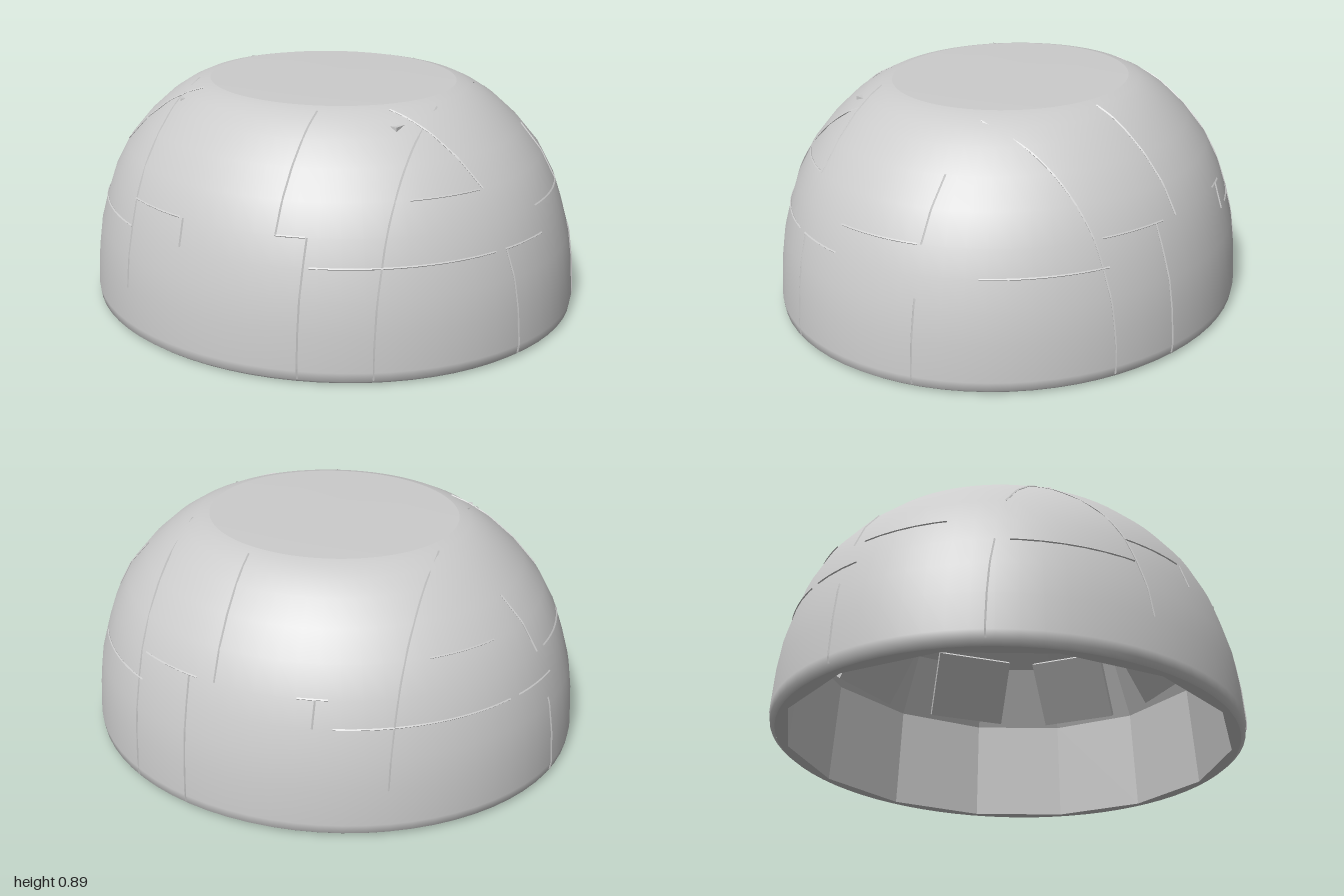
import * as THREE from 'three';

const DEPTH = 0.92; // the plan is an ellipse, narrower front to back
const SIDES = 14;   // flat panels around the inside

// outer wall: radius, height
const PROFILE = [
  [0.975, 0.01], [0.995, 0.025], [1, 0.06], [0.99, 0.2], [0.972, 0.32], [0.94, 0.43],
  [0.905, 0.53], [0.845, 0.64], [0.76, 0.74], [0.67, 0.82], [0.6, 0.865], [0.545, 0.89], [0.5, 0.9],
];

function radiusAt(y) {
  for (let i = 1; i < PROFILE.length; i++) {
    const [r0, y0] = PROFILE[i - 1], [r1, y1] = PROFILE[i];
    if (y <= y1) return r0 + (r1 - r0) * Math.max(0, (y - y0) / (y1 - y0));
  }
  return 0.5;
}

export function createModel() {
  const model = new THREE.Group();
  model.name = 'hollowDome';
  const smooth = new THREE.MeshStandardMaterial({ color: 0xcccccc });
  const faceted = new THREE.MeshStandardMaterial({ color: 0xcccccc, flatShading: true });
  const vec = (list) => list.map(([r, y]) => new THREE.Vector2(r, y));

  function add(name, geometry, material, parent = model) {
    const mesh = new THREE.Mesh(geometry, material);
    mesh.name = name;
    parent.add(mesh);
    return mesh;
  }

  // Outer wall and flat roof
  add('outerWall', new THREE.LatheGeometry(vec(PROFILE), 72).scale(1, 1, DEPTH), smooth);
  add('roof', new THREE.LatheGeometry(vec([[0.5, 0.9], [0.3, 0.904], [0, 0.905]]), 72)
    .scale(1, 1, DEPTH), smooth);

  // Inner lining of flat panels, faces turned inward
  const lining = vec([[0, 0.86], [0.58, 0.84], [0.78, 0.68], [0.91, 0.43], [0.945, 0.01]]);
  add('innerLining', new THREE.LatheGeometry(lining, SIDES).scale(1, 1, DEPTH), faceted);

  // Rim joining the round outside to the panelled inside
  const ring = (r, n) => Array.from({ length: n }, (_, i) => {
    const a = (i / n) * Math.PI * 2;
    return new THREE.Vector2(Math.sin(a) * r, Math.cos(a) * r * DEPTH);
  });
  const rim = new THREE.Shape(ring(0.975, 72));
  rim.holes.push(new THREE.Path(ring(0.945, SIDES)));
  add('rim', new THREE.ShapeGeometry(rim).rotateX(Math.PI / 2).translate(0, 0.01, 0), faceted);

  // Tilted plates round the upper inside
  const plates = new THREE.Group();
  plates.name = 'innerPlates';
  plates.scale.z = DEPTH;
  model.add(plates);
  for (let i = 0; i < 9; i++) {
    const holder = new THREE.Group();
    holder.name = 'innerPlateHolder';
    holder.rotation.y = ((i + 0.35) / 9) * Math.PI * 2;
    plates.add(holder);
    const plate = add('innerPlate', new THREE.BoxGeometry(0.36, 0.3, 0.03), faceted, holder);
    plate.position.set(0, 0.56, 0.765 - 0.02 * (i % 2));
    plate.rotation.x = -0.6;
  }
  // Staggered plates under the roof
  for (const [x, z, turn] of [[-0.28, 0.2, 0.3], [0.25, 0.24, -0.25], [0.05, -0.26, 0.1]]) {
    const plate = add('ceilingPlate', new THREE.BoxGeometry(0.5, 0.03, 0.34), faceted, plates);
    plate.position.set(x, 0.835, z);
    plate.rotation.y = turn;
  }

  // Fine seams between wall blocks, following the surface
  function seam(points) {
    const curve = new THREE.CatmullRomCurve3(points);
    add('blockSeam', new THREE.TubeGeometry(curve, points.length * 2, 0.004, 4), faceted);
  }
  // upright seam in the plane x = c (or z = c), between two heights
  function uprightSeam(axis, c, side, y0, y1) {
    const points = [];
    for (let i = 0; i <= 12; i++) {
      const y = y0 + ((y1 - y0) * i) / 12, r = radiusAt(y);
      const k = axis === 'x' ? r * r - c * c : r * r - (c / DEPTH) ** 2;
      if (k < 0) break;
      points.push(axis === 'x'
        ? new THREE.Vector3(c, y, side * DEPTH * Math.sqrt(k))
        : new THREE.Vector3(side * Math.sqrt(k), y, c));
    }
    if (points.length > 2) seam(points);
  }
  // level seam, angles in degrees from the front toward +x
  function levelSeam(y, from, to) {
    const points = [], r = radiusAt(y);
    for (let i = 0; i <= 8; i++) {
      const a = THREE.MathUtils.degToRad(from + ((to - from) * i) / 8);
      points.push(new THREE.Vector3(Math.sin(a) * r, y, Math.cos(a) * r * DEPTH));
    }
    seam(points);
  }
  for (const side of [1, -1]) {
    uprightSeam('x', -0.49, side, 0.2, 0.89);
    uprightSeam('x', 0.52, side, 0.03, 0.88);
    uprightSeam('x', 0.16, side, 0.53, 0.89);
    uprightSeam('x', 0.27, side, 0.03, 0.53);
    uprightSeam('x', -0.22, side, 0.43, 0.53);
    uprightSeam('z', 0.36, side, 0.03, 0.43);
    uprightSeam('z', 0.35, side, 0.64, 0.89);
    uprightSeam('z', -0.2, side, 0.53, 0.74);
    uprightSeam('z', -0.21, side, 0.03, 0.35);
  }
  for (const turn of [0, 180]) {
    levelSeam(0.53, turn - 33, turn - 15);
    levelSeam(0.53, turn + 10, turn + 17);
    levelSeam(0.43, turn + 18, turn + 62);
    levelSeam(0.43, turn - 62, turn - 32);
    levelSeam(0.64, turn + 42, turn + 62);
    levelSeam(0.53, turn + 80, turn + 103);
    levelSeam(0.43, turn + 65, turn + 80);
  }
  return model;
}
